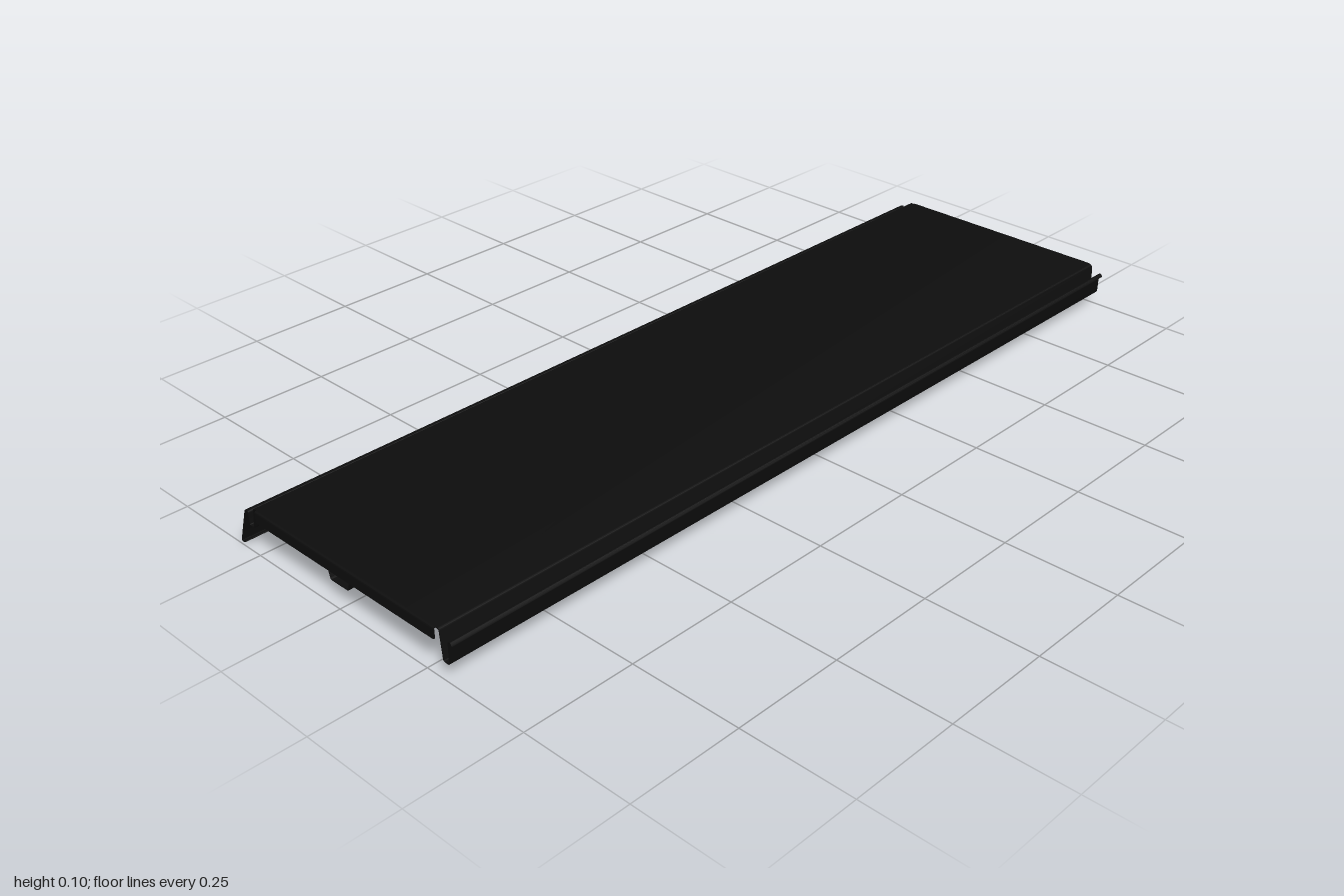
import * as THREE from 'three';
import { toCreasedNormals } from 'three/addons/utils/BufferGeometryUtils.js';

const T = 0.0024; // sheet thickness
const material = new THREE.MeshStandardMaterial({ color: 0x0d0d0d });

// Round the inner corners of an open polyline
function fillet(corners, radius) {
  const pts = corners.map(([a, b]) => new THREE.Vector2(a, b));
  const out = [pts[0]];
  for (let i = 1; i < pts.length - 1; i++) {
    const p = pts[i];
    const toward = (q) => {
      const d = q.clone().sub(p);
      return p.clone().add(d.setLength(Math.min(radius, d.length() * 0.48)));
    };
    out.push(...new THREE.QuadraticBezierCurve(toward(pts[i - 1]), p, toward(pts[i + 1])).getPoints(5));
  }
  out.push(pts[pts.length - 1]);
  return out;
}

// Closed outline of a thin sheet following a polyline
function sheetShape(pts) {
  const left = [], right = [];
  pts.forEach((p, i) => {
    const a = pts[Math.max(i - 1, 0)], b = pts[Math.min(i + 1, pts.length - 1)];
    const d = b.clone().sub(a).normalize();
    const n = new THREE.Vector2(-d.y, d.x).multiplyScalar(T / 2);
    left.push(p.clone().add(n));
    right.push(p.clone().sub(n));
  });
  return new THREE.Shape([...left, ...right.reverse()]);
}

function extrude(shape, depth) {
  const geo = new THREE.ExtrudeGeometry(shape, { depth, bevelEnabled: false, curveSegments: 6 });
  return toCreasedNormals(geo.translate(0, 0, -depth / 2), 0.6);
}

function addMesh(group, name, geo) {
  const mesh = new THREE.Mesh(geo, material);
  mesh.name = name;
  group.add(mesh);
  return mesh;
}

// Sheet with a [z, y] section running along x
function addRail(group, name, section, radius, length) {
  const pts = fillet(section.map(([z, y]) => [-z, y]), radius);
  return addMesh(group, name, extrude(sheetShape(pts), length).rotateY(Math.PI / 2));
}

export function createModel() {
  const group = new THREE.Group();
  group.name = 'metalPanel';
  const top = 0.1 - T / 2;

  // Panel face with the hooked channel in front and the sprung lip behind
  addRail(group, 'foldedPanel', [
    [0.317, 0.077], [0.314, 0.0835], [0.3085, 0.0825], [0.3075, 0.0345],
    [0.292, 0.0345], [0.286, top], [-0.26, top], [-0.2655, 0.0535],
    [-0.281, 0.0535], [-0.281, 0.084], [-0.29, 0.084],
    [-0.3175, 0.0035], [-0.313, 0.0015], [-0.304, 0.006],
  ], 0.005, 1.99);

  // Hat-shaped stiffener under the middle
  const under = top - T;
  addRail(group, 'stiffener', [
    [0.055, under], [0.031, under], [0.0185, 0.0455],
    [-0.0335, 0.0455], [-0.046, under], [-0.07, under],
  ], 0.004, 1.98);

  // End flaps: a small bend, then a plate with rounded lower corners
  const z0 = -0.249, z1 = 0.277, r = 0.004, low = 0.0745, high = 0.094;
  const plate = new THREE.Shape();
  plate.moveTo(-z1, high);
  plate.lineTo(-z1, low + r);
  plate.quadraticCurveTo(-z1, low, -z1 + r, low);
  plate.lineTo(-z0 - r, low);
  plate.quadraticCurveTo(-z0, low, -z0, low + r);
  plate.lineTo(-z0, high);
  for (const [name, side] of [['left', 1], ['right', -1]]) {
    const flap = new THREE.Group();
    flap.name = name + 'EndFlap';
    const x = side * (1 - T / 2);
    addMesh(flap, 'flapPlate', extrude(plate, T).rotateY(Math.PI / 2)).position.x = x;
    const bend = fillet([[side * 0.993, top], [x, top], [x, high]], 0.005);
    addMesh(flap, 'flapBend', extrude(sheetShape(bend), z1 - z0)).position.z = (z0 + z1) / 2;
    group.add(flap);
  }
  return group;
}
